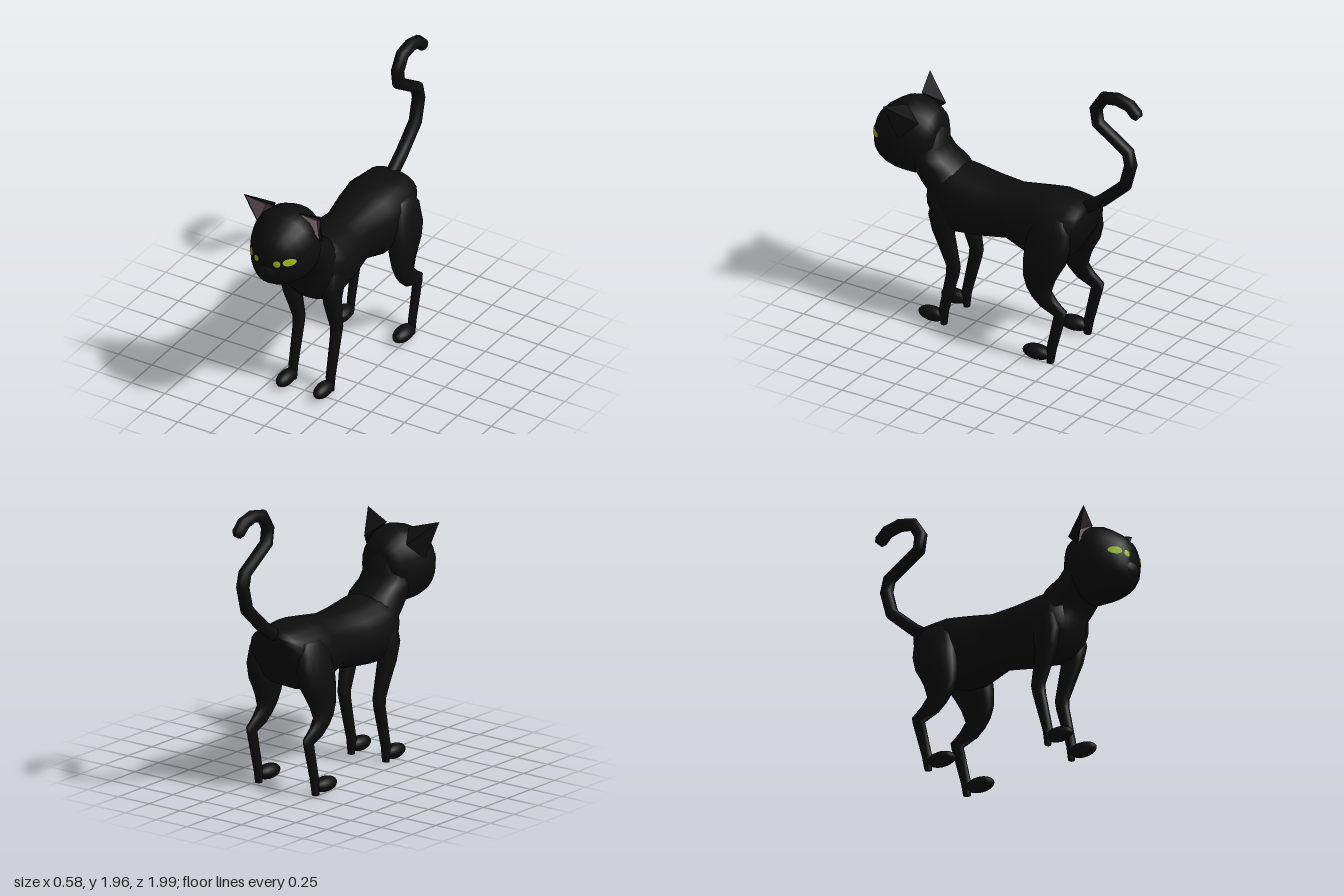
import * as THREE from 'three';

const fur = new THREE.MeshStandardMaterial({ color: 0x0d0d0d, side: THREE.DoubleSide });
fur.name = 'black fur';
const earPink = new THREE.MeshStandardMaterial({ color: 0x594a4e, side: THREE.DoubleSide });
earPink.name = 'inner ear mauve';
const eyeGreen = new THREE.MeshStandardMaterial({ color: 0xa3c40a, side: THREE.DoubleSide });
eyeGreen.name = 'eye green';

const V = (x, y, z) => new THREE.Vector3(x, y, z);

function mesh(name, geometry, material = fur) {
  const m = new THREE.Mesh(geometry, material);
  m.name = name;
  return m;
}

// Closed skin over a list of rings, each with the same number of points
function loft(rings) {
  const n = rings[0].length, pts = rings.flat(), index = [];
  for (let i = 0; i < rings.length - 1; i++) {
    for (let j = 0; j < n; j++) {
      const k = (j + 1) % n, a = i * n + j, b = i * n + k;
      index.push(a, b, b + n, a, b + n, a + n);
    }
  }
  const centre = (r) => r.reduce((s, p) => s.add(p), V(0, 0, 0)).divideScalar(n);
  const s = pts.length, last = s - n;
  pts.push(centre(rings[0]), centre(rings[rings.length - 1]));
  for (let j = 0; j < n; j++) {
    const k = (j + 1) % n;
    index.push(s, k, j, s + 1, last + j, last + k);
  }
  const g = new THREE.BufferGeometry().setFromPoints(pts);
  g.setIndex(index);
  g.computeVertexNormals();
  return g;
}

// Slightly boxy ellipse: calls place(cos, sin) round the ring
function ring(n, place) {
  const soft = (c) => Math.sign(c) * Math.abs(c) ** 0.88;
  return Array.from({ length: n }, (_, j) => {
    const a = (j / n) * Math.PI * 2;
    return place(soft(Math.cos(a)), soft(Math.sin(a)));
  });
}

// Sections along z: [z, top, bottom, halfWidth]
const loftZ = (rows, n = 20) => loft(rows.map(([z, top, bot, w]) =>
  ring(n, (c, s) => V(c * w, (top + bot) / 2 + s * (top - bot) / 2, z))));

// Sections rising along y: [y, backZ, frontZ, centreX, halfWidth]
const loftY = (rows, n = 14, side = 1) => loft(rows.map(([y, z0, z1, x, w]) =>
  ring(n, (c, s) => V(side * x + s * w, y, (z0 + z1) / 2 + c * (z1 - z0) / 2))));

function triangles(list) {
  const g = new THREE.BufferGeometry().setFromPoints(list.flat());
  g.computeVertexNormals();
  return g;
}

// Cupped triangular ear with a dark rim and a mauve hollow
function makeEar(s) {
  const ear = new THREE.Group();
  const rim = [V(s * 0.29, 1.55, 0.78), V(s * 0.09, 1.495, 0.72), V(s * 0.235, 1.31, 0.7)];
  const back = V(s * 0.17, 1.42, 0.585), hollow = V(s * 0.19, 1.44, 0.665);
  const mid = rim.reduce((a, p) => a.add(p), V(0, 0, 0)).divideScalar(3);
  const inner = rim.map((p) => p.clone().lerp(mid, 0.1));
  const shell = [], cup = [];
  for (let i = 0; i < 3; i++) {
    const k = (i + 1) % 3;
    shell.push([rim[i], rim[k], back], [rim[i], inner[i], inner[k]], [rim[i], inner[k], rim[k]]);
    cup.push([inner[i], hollow, inner[k]]);
  }
  // keep every face wound outwards on both sides
  const wind = (t) => (s > 0 ? [t[0], t[2], t[1]] : t);
  ear.add(mesh('earShell', triangles(shell.map(wind))));
  ear.add(mesh('earInner', triangles(cup.map(wind)), earPink));
  return ear;
}

// Thin oval laid on the face by casting rays backwards onto the head
function eyePatch(head, cx, cy, rx, ry) {
  const caster = new THREE.Raycaster(), n = 14, pts = [], index = [];
  const drop = (x, y) => {
    caster.set(V(x, y, 3), V(0, 0, -1));
    const hit = caster.intersectObject(head)[0];
    return V(x, y, (hit ? hit.point.z : 0.92) + 0.007);
  };
  pts.push(drop(cx, cy));
  for (let r = 1; r <= 3; r++) {
    for (let j = 0; j < n; j++) {
      const a = (j / n) * Math.PI * 2, k = (j + 1) % n, o = 1 + (r - 1) * n;
      pts.push(drop(cx + Math.cos(a) * rx * r / 3, cy + Math.sin(a) * ry * r / 3));
      if (r === 1) index.push(0, 1 + j, 1 + k);
      else index.push(o - n + j, o + j, o + k, o - n + j, o + k, o - n + k);
    }
  }
  const g = new THREE.BufferGeometry().setFromPoints(pts);
  g.setIndex(index);
  g.computeVertexNormals();
  return g;
}

function ellipsoid(name, pos, size) {
  const m = mesh(name, new THREE.SphereGeometry(1, 18, 12));
  m.position.set(...pos);
  m.scale.set(...size);
  return m;
}

// Angular tail following [z, y] points, rounded off at the tip
function tailGeometry() {
  const path = [[-0.54, 1.04], [-0.7, 1.15], [-0.87, 1.305], [-0.912, 1.465], [-0.89, 1.555],
    [-0.665, 1.705], [-0.65, 1.805], [-0.71, 1.9], [-0.81, 1.918], [-0.905, 1.895],
    [-0.955, 1.845], [-0.975, 1.825]].map(([z, y]) => V(0, y, z));
  const u = V(1, 0, 0), end = path.length - 1;
  return loft(path.map((p, i) => {
    const a = p.clone().sub(path[Math.max(i - 1, 0)]).normalize();
    const b = path[Math.min(i + 1, end)].clone().sub(p).normalize();
    const t = a.add(b).normalize(), v = t.clone().cross(u);
    const r = i === end ? 0.028 : 0.042;
    return ring(12, (c, s) => p.clone().addScaledVector(u, c * r).addScaledVector(v, s * r));
  }));
}

export function createModel() {
  const cat = new THREE.Group();
  cat.name = 'cat';

  // Trunk, and the chest rising into the neck
  cat.add(mesh('body', loftZ([
    [-0.605, 1.07, 0.98, 0.09], [-0.59, 1.1, 0.86, 0.185], [-0.5, 1.112, 0.71, 0.225],
    [-0.36, 1.127, 0.65, 0.235], [-0.24, 1.11, 0.645, 0.225], [-0.04, 1.08, 0.71, 0.18],
    [0.15, 1.085, 0.68, 0.213], [0.33, 1.11, 0.66, 0.225], [0.45, 1.13, 0.69, 0.2],
    [0.53, 1.06, 0.76, 0.16]])));
  cat.add(mesh('neck', loftY([
    [0.7, 0.35, 0.48, 0, 0.11], [0.79, 0.3, 0.56, 0, 0.165], [0.88, 0.28, 0.562, 0, 0.185],
    [0.95, 0.27, 0.58, 0, 0.19], [1.0, 0.28, 0.63, 0, 0.19], [1.1, 0.33, 0.72, 0, 0.18],
    [1.16, 0.43, 0.78, 0, 0.175], [1.22, 0.485, 0.8, 0, 0.175], [1.36, 0.52, 0.8, 0, 0.16]], 20)));

  // Head and muzzle
  const head = mesh('head', loftZ([
    [0.515, 1.37, 1.14, 0.11], [0.55, 1.44, 1.05, 0.16], [0.64, 1.49, 0.995, 0.205],
    [0.73, 1.5, 1.0, 0.225], [0.79, 1.485, 1.005, 0.22], [0.85, 1.45, 1.015, 0.198],
    [0.91, 1.405, 1.035, 0.16], [0.95, 1.36, 1.06, 0.122], [0.972, 1.31, 1.09, 0.085],
    [0.98, 1.27, 1.13, 0.05]], 24));
  head.updateMatrixWorld();
  cat.add(head, ellipsoid('muzzle', [0, 1.155, 0.9], [0.11, 0.085, 0.1]));

  cat.add(mesh('tail', tailGeometry()));

  for (const [s, side] of [[1, 'left'], [-1, 'right']]) {
    const ear = makeEar(s);
    ear.name = side + 'Ear';
    cat.add(ear);

    // Each eye is two green ovals either side of a slit pupil
    cat.add(mesh(side + 'EyeOuter', eyePatch(head, s * 0.144, 1.25, 0.032, 0.026), eyeGreen));
    cat.add(mesh(side + 'EyeInner', eyePatch(head, s * 0.077, 1.24, 0.023, 0.023), eyeGreen));

    cat.add(mesh(side + 'FrontLeg', loftY([
      [0, 0.39, 0.43, 0.14, 0.024], [0.1, 0.378, 0.445, 0.14, 0.03], [0.38, 0.3, 0.39, 0.14, 0.034],
      [0.44, 0.29, 0.386, 0.142, 0.037], [0.56, 0.31, 0.435, 0.146, 0.043],
      [0.68, 0.33, 0.485, 0.152, 0.05], [0.8, 0.31, 0.51, 0.16, 0.058],
      [0.92, 0.33, 0.48, 0.165, 0.04]], 14, s)));
    cat.add(ellipsoid(side + 'FrontPaw', [s * 0.14, 0.052, 0.5], [0.05, 0.05, 0.1]));

    cat.add(mesh(side + 'HindLeg', loftY([
      [0, -0.47, -0.42, 0.23, 0.022], [0.1, -0.49, -0.42, 0.23, 0.024],
      [0.355, -0.56, -0.475, 0.23, 0.026], [0.395, -0.57, -0.37, 0.23, 0.03],
      [0.45, -0.5, -0.31, 0.23, 0.036], [0.51, -0.45, -0.27, 0.228, 0.043],
      [0.59, -0.475, -0.242, 0.222, 0.056], [0.66, -0.51, -0.24, 0.215, 0.07],
      [0.72, -0.545, -0.24, 0.21, 0.08], [0.82, -0.57, -0.25, 0.205, 0.084],
      [0.94, -0.57, -0.28, 0.19, 0.065], [1.02, -0.52, -0.34, 0.18, 0.035]], 16, s)));
    cat.add(ellipsoid(side + 'HindPaw', [s * 0.23, 0.052, -0.345], [0.058, 0.05, 0.103]));
  }
  return cat;
}
